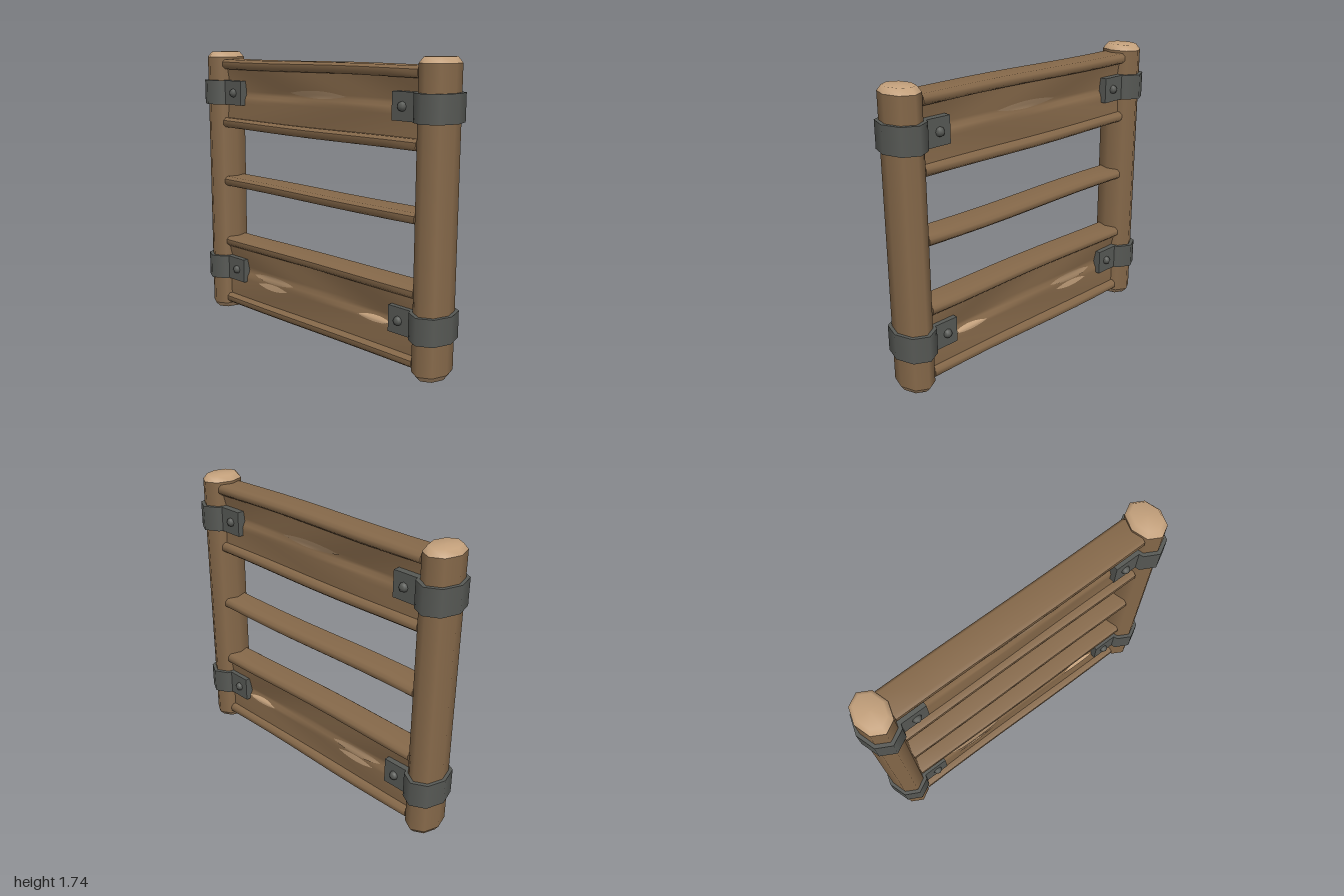
import * as THREE from 'three';

const mat = (name, color) => new THREE.MeshStandardMaterial({ name, color });

export function createModel() {
  const wood = mat('wood', 0x86694a);
  const cutWood = mat('cutWood', 0xc4a17c);
  const wornWood = mat('wornWood', 0x9c7f60);
  const iron = mat('iron', 0x575955);
  const model = new THREE.Group();
  model.name = 'woodenFence';

  const add = (name, geo, material, x = 0, y = 0, z = 0, parent = model) => {
    const mesh = new THREE.Mesh(geo, material);
    mesh.name = name;
    mesh.position.set(x, y, z);
    parent.add(mesh);
    return mesh;
  };

  // Oval eight-sided posts with chamfered, bare ends
  const RX = 0.1, RZ = 0.133, H = 1.74, CAP = 0.035;
  const shaftGeo = new THREE.CylinderGeometry(1, 1, H - 2 * CAP, 8, 1, true).scale(RX, 1, RZ);
  const capGeo = new THREE.LatheGeometry([
    new THREE.Vector2(1, 0), new THREE.Vector2(0.77, CAP - 0.002), new THREE.Vector2(0, CAP),
  ], 8).scale(RX, 1, RZ);

  // Iron collars with a tab and bolts reaching over the boards
  const collarGeo = new THREE.CylinderGeometry(1, 1, 0.155, 8).scale(0.121, 1, 0.157);
  const tabGeo = new THREE.BoxGeometry(0.2, 0.155, 0.172);
  const boltGeo = new THREE.SphereGeometry(0.028, 8, 4);

  for (const side of [-1, 1]) {
    const post = new THREE.Group();
    post.name = side > 0 ? 'leftPost' : 'rightPost';
    post.position.x = side * 0.879;
    model.add(post);
    add('shaft', shaftGeo, wood, 0, H / 2, 0, post);
    add('topEnd', capGeo, cutWood, 0, H - CAP, 0, post);
    add('bottomEnd', capGeo, cutWood, 0, CAP, 0, post).rotation.x = Math.PI;
    for (const y of [0.298, 1.478]) {
      add('collar', collarGeo, iron, 0, y, 0, post);
      add('collarTab', tabGeo, iron, -side * 0.15, y, 0, post);
      for (const f of [-1, 1]) add('bolt', boltGeo, iron, -side * 0.179, y, f * 0.086, post);
    }
  }

  // Flat rails with rounded edges, slightly uneven along their length
  const makeRail = (seed) => {
    const geo = new THREE.CylinderGeometry(1, 1, 1.6, 8, 8);
    geo.rotateY(Math.PI / 8).rotateZ(Math.PI / 2);
    const p = geo.attributes.position;
    for (let i = 0; i < p.count; i++) {
      const x = p.getX(i), y = p.getY(i), z = p.getZ(i);
      const edge = Math.abs(z) > 0.6;
      const wobble = 0.003 * Math.sin(x * 4 + seed);
      const depth = Math.abs(z) < 0.01 ? 0 : edge ? 0.092 : 0.072;
      const half = Math.abs(y) < 0.01 ? 0 : edge ? 0.015 : 0.031;
      p.setXYZ(i, x, Math.sign(y) * half + wobble, Math.sign(z) * depth + wobble);
    }
    geo.computeVertexNormals();
    return geo;
  };
  [0.076, 0.477, 0.888, 1.278, 1.66].forEach((y, i) => add('rail', makeRail(i * 1.7), wood, 0, y));

  // Weathered board surface: leaning upper half, split ledge, flatter lower half
  const relief = (x, y, seed) => {
    const split = 0.012 * Math.sin(x * 3.2 + seed);
    const t = y - split;
    const ledge = THREE.MathUtils.smoothstep(t, -0.02, 0.01);
    const upper = 0.036 + 0.14 * Math.max(t, 0) + 0.006 * Math.sin(x * 5 + y * 14 + seed);
    const lower = 0.054 + 0.003 * Math.sin(x * 4 - y * 18 + seed);
    return THREE.MathUtils.lerp(lower, upper, ledge);
  };
  const boardFace = (w, h, cx, cy, face, seed, lift, lens) => {
    const geo = new THREE.PlaneGeometry(face * w, h, lens ? 16 : 32, lens ? 4 : 18);
    const p = geo.attributes.position;
    for (let i = 0; i < p.count; i++) {
      const u = (2 * p.getX(i)) / w;
      const taper = lens ? Math.max(1 - u * u, 0.02) : 1;
      const x = p.getX(i) + cx, y = p.getY(i) * taper + cy;
      p.setXYZ(i, x, y, face * (relief(x, y, seed) + lift));
    }
    geo.computeVertexNormals();
    return geo;
  };

  // Each chip: centre x, centre y from the board's middle, width, height
  const boards = [
    { name: 'upperBoard', y: 1.47, h: 0.36, seed: 0.6, worn: [[0.03, 0.032, 0.46, 0.045]], bare: [] },
    {
      name: 'lowerBoard', y: 0.277, h: 0.38, seed: 2.4,
      worn: [[-0.37, 0.005, 0.38, 0.042]],
      bare: [[-0.37, -0.042, 0.28, 0.042], [0.5, -0.025, 0.26, 0.035]],
    },
  ];
  for (const b of boards) {
    const board = new THREE.Group();
    board.name = b.name;
    board.position.y = b.y;
    model.add(board);
    for (const f of [-1, 1]) {
      add(f > 0 ? 'frontFace' : 'backFace', boardFace(1.62, b.h, 0, 0, f, b.seed, 0, false), wood, 0, 0, 0, board);
      for (const [x, y, w, h] of b.worn)
        add('wornPatch', boardFace(w, h, x, y, f, b.seed, 0.005, true), wornWood, 0, 0, 0, board);
      for (const [x, y, w, h] of b.bare)
        add('barePatch', boardFace(w, h, x, y, f, b.seed, 0.005, true), cutWood, 0, 0, 0, board);
    }
  }
  return model;
}
